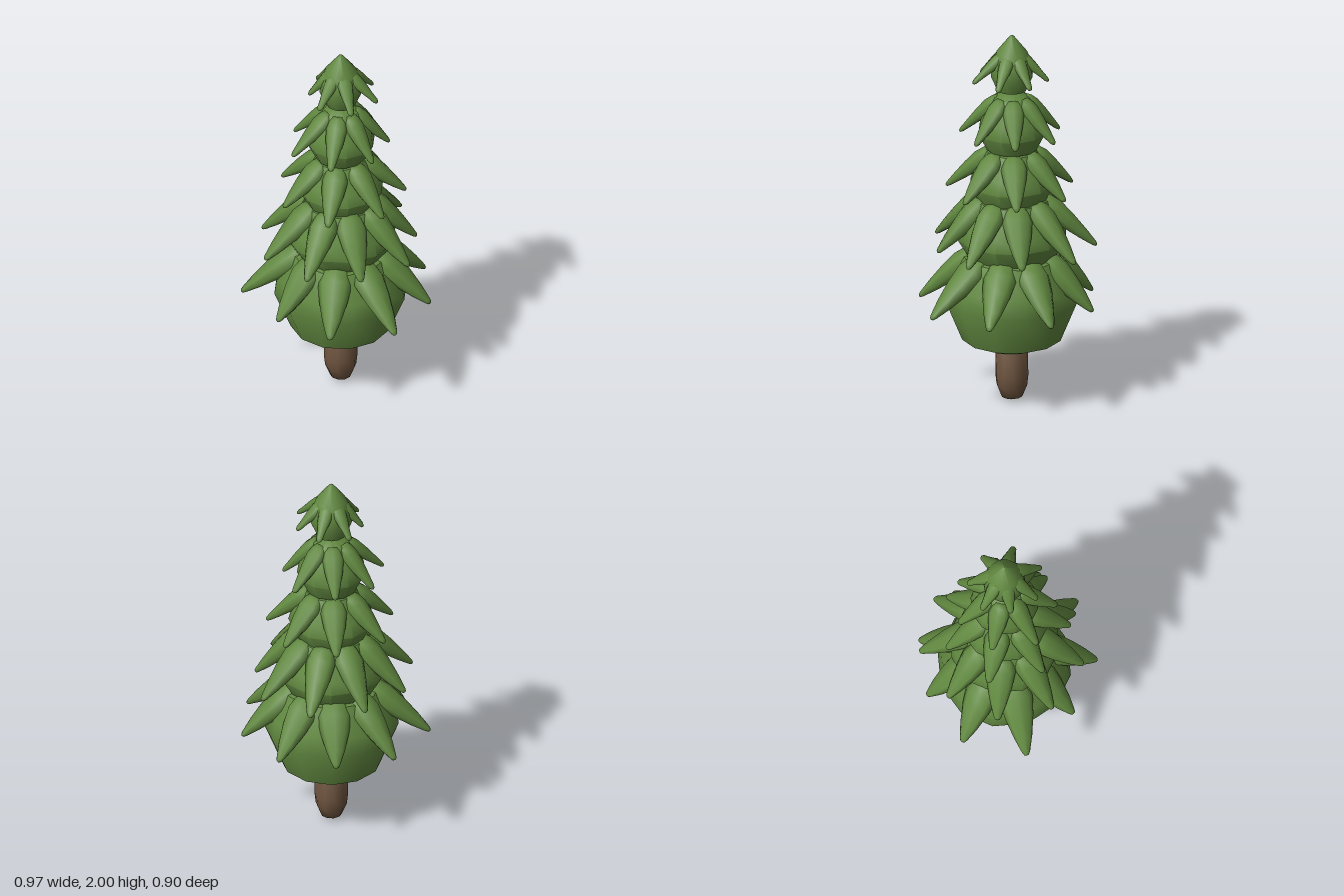
import * as THREE from 'three';
import { toCreasedNormals } from 'three/addons/utils/BufferGeometryUtils.js';

const V = (x, y, z) => new THREE.Vector3(x, y, z);

function lathe(profile, sides) {
  return new THREE.LatheGeometry(profile.map(([r, y]) => new THREE.Vector2(r, y)), sides);
}

// One bough: a flattened, tapering drop from its root to its tip
function boughGeometry(root, tip, angle, width, thickness, tipRadius) {
  const length = root.distanceTo(tip);
  const g = lathe([
    [0, 0], [width * 0.3, 0.01 * length], [width * 0.42, 0.09 * length], [width * 0.5, 0.24 * length],
    [width * 0.42, 0.48 * length], [width * 0.27, 0.75 * length],
    [tipRadius, length - tipRadius], [tipRadius * 0.6, length - tipRadius * 0.25], [0, length],
  ], 8);
  g.scale(1, 1, thickness);
  const along = tip.clone().sub(root).normalize();
  const across = V(-Math.sin(angle), 0, Math.cos(angle));
  const m = new THREE.Matrix4().makeBasis(across, along, across.clone().cross(along));
  return g.applyMatrix4(m.setPosition(root));
}

export function createModel() {
  const green = new THREE.MeshStandardMaterial({ color: 0x618840 });
  green.name = 'foliage green';
  const brown = new THREE.MeshStandardMaterial({ color: 0x6e543f });
  brown.name = 'bark brown';

  const tree = new THREE.Group();
  tree.name = 'firTree';

  // Trunk with a rounded foot
  const trunk = new THREE.Mesh(
    lathe([[0, 0], [0.055, 0.022], [0.08, 0.085], [0.086, 0.14], [0.083, 0.34], [0, 0.36]], 10), brown);
  trunk.name = 'trunk';
  tree.add(trunk);

  // Tiers from bottom to top: body profile, bough root and tip height, tip radii, first angle in degrees
  const tiers = [
    { body: [[0, 0.27], [0.08, 0.275], [0.26, 0.35], [0.345, 0.56], [0.33, 0.66], [0.25, 0.8], [0, 0.86]],
      root: [0.185, 0.81], tipY: 0.552, width: 0.175, start: 7,
      radii: [0.51, 0.475, 0.445, 0.51, 0.475, 0.43, 0.455, 0.47, 0.48] },
    { body: [[0, 0.77], [0.22, 0.79], [0.285, 0.9], [0.27, 0.97], [0.19, 1.11], [0, 1.15]],
      root: [0.15, 1.11], tipY: 0.852, width: 0.155, start: 25,
      radii: [0.4, 0.42, 0.43, 0.415, 0.41, 0.435, 0.436, 0.39, 0.425] },
    { body: [[0, 1.09], [0.18, 1.11], [0.22, 1.19], [0.2, 1.26], [0.13, 1.37], [0, 1.4]],
      root: [0.1, 1.365], tipY: 1.155, width: 0.135, start: 0,
      radii: [0.335, 0.34, 0.33, 0.33, 0.325, 0.33, 0.335] },
    { body: [[0, 1.36], [0.13, 1.38], [0.175, 1.47], [0.165, 1.54], [0.09, 1.66], [0, 1.69]],
      root: [0.065, 1.655], tipY: 1.455, width: 0.11, start: 0,
      radii: [0.255, 0.27, 0.28, 0.26, 0.255, 0.265, 0.25] },
    { body: [[0, 1.69], [0.075, 1.7], [0.11, 1.78], [0.105, 1.84], [0.08, 1.905], [0.012, 1.992], [0, 2]],
      root: [0.04, 1.9], tipY: 1.755, width: 0.08, start: 25,
      radii: [0.21, 0.19, 0.165, 0.185, 0.19, 0.187, 0.205] },
  ];

  tiers.forEach((t, i) => {
    const tier = new THREE.Group();
    tier.name = `tier${i + 1}`;
    const body = new THREE.Mesh(toCreasedNormals(lathe(t.body, 12), 0.75), green);
    body.name = 'foliageBody';
    tier.add(body);
    t.radii.forEach((r, k) => {
      const a = THREE.MathUtils.degToRad(t.start + (k * 360) / t.radii.length);
      const at = (radius, y) => V(Math.cos(a) * radius, y, Math.sin(a) * radius);
      const bough = new THREE.Mesh(
        boughGeometry(at(...t.root), at(r, t.tipY), a, t.width, 0.7, 0.021 - i * 0.001), green);
      bough.name = 'bough';
      tier.add(bough);
    });
    tree.add(tier);
  });

  // The uneven boughs put the stem slightly off centre
  tree.position.x = -0.025;
  const model = new THREE.Group();
  model.name = 'tree';
  model.add(tree);
  return model;
}
